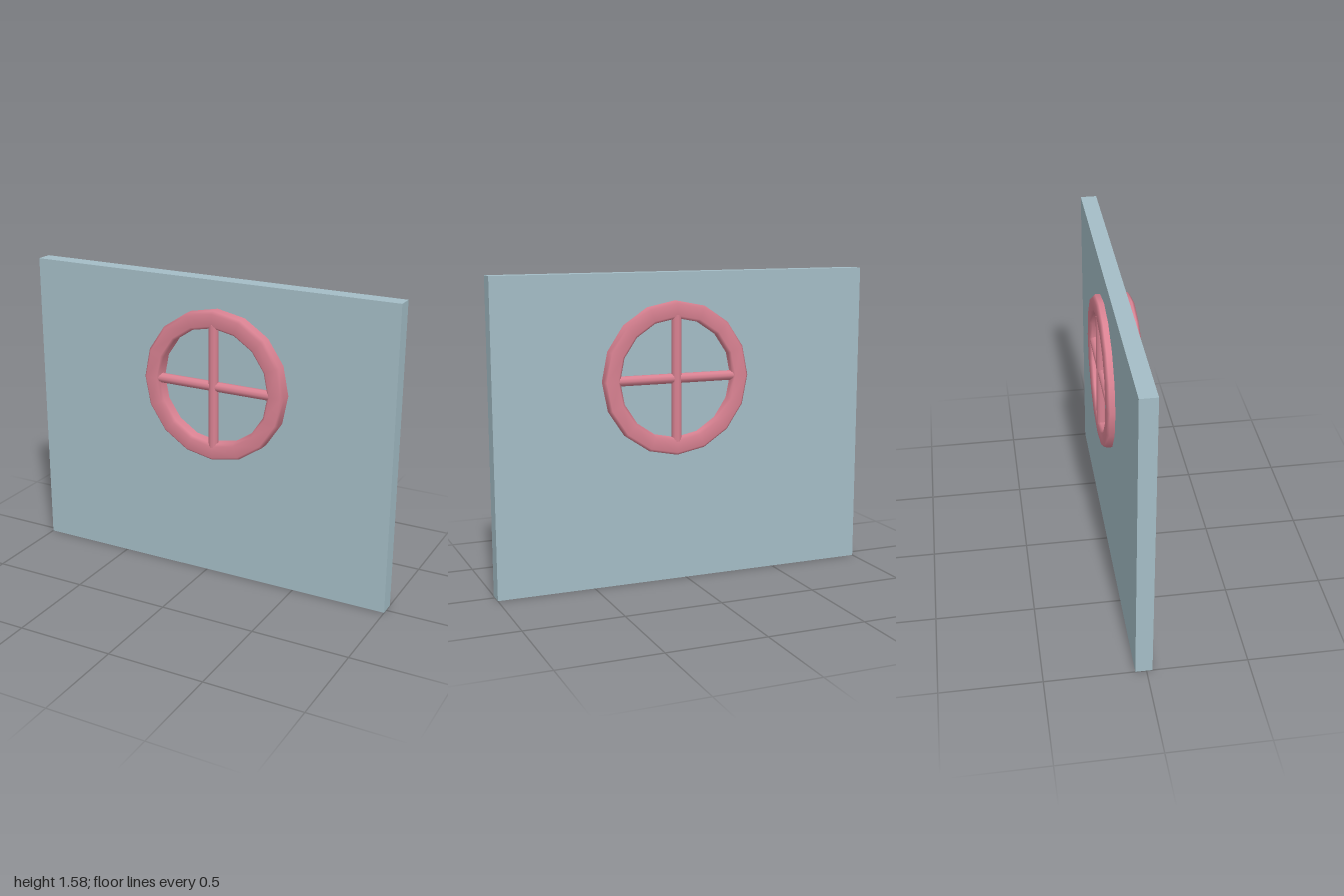
import * as THREE from 'three';

export function createModel() {
  const model = new THREE.Group();
  const wallBlue = new THREE.MeshStandardMaterial({ color: 0xa4bdc6 });
  wallBlue.name = 'pale blue';
  const framePink = new THREE.MeshStandardMaterial({ color: 0xd98292 });
  framePink.name = 'rose pink';

  function add(parent, name, geometry, material, x, y, z) {
    const mesh = new THREE.Mesh(geometry, material);
    mesh.name = name;
    mesh.position.set(x, y, z);
    parent.add(mesh);
    return mesh;
  }

  // Solid wall slab
  add(model, 'wall', new THREE.BoxGeometry(2, 1.58, 0.084), wallBlue, 0, 0.79, -0.013);

  // Round window, slightly off centre
  const roundWindow = new THREE.Group();
  roundWindow.name = 'roundWindow';
  roundWindow.position.set(0.06, 1.05, 0);
  model.add(roundWindow);

  // Sixteen-sided frame with softened edges, passing through the wall
  const inner = 0.303, outer = 0.39, depth = 0.094, bevel = 0.013;
  const profile = [
    [inner, 0], [inner, -depth + bevel], [inner + bevel, -depth],
    [outer - bevel, -depth], [outer, -depth + bevel],
    [outer, depth - bevel], [outer - bevel, depth],
    [inner + bevel, depth], [inner, depth - bevel], [inner, 0],
  ].map(([r, y]) => new THREE.Vector2(r, y));
  const frame = add(roundWindow, 'frame', new THREE.LatheGeometry(profile, 16), framePink, 0, 0, 0);
  frame.rotation.x = Math.PI / 2;

  // Crossed glazing bars on both faces
  const barGeometry = new THREE.CylinderGeometry(0.025, 0.025, 0.64, 10);
  for (const [side, sign] of [['front', 1], ['back', -1]]) {
    add(roundWindow, side + 'UprightBar', barGeometry, framePink, 0, 0, sign * 0.072);
    const cross = add(roundWindow, side + 'CrossBar', barGeometry, framePink, 0, 0, sign * 0.066);
    cross.rotation.z = Math.PI / 2;
  }
  return model;
}
